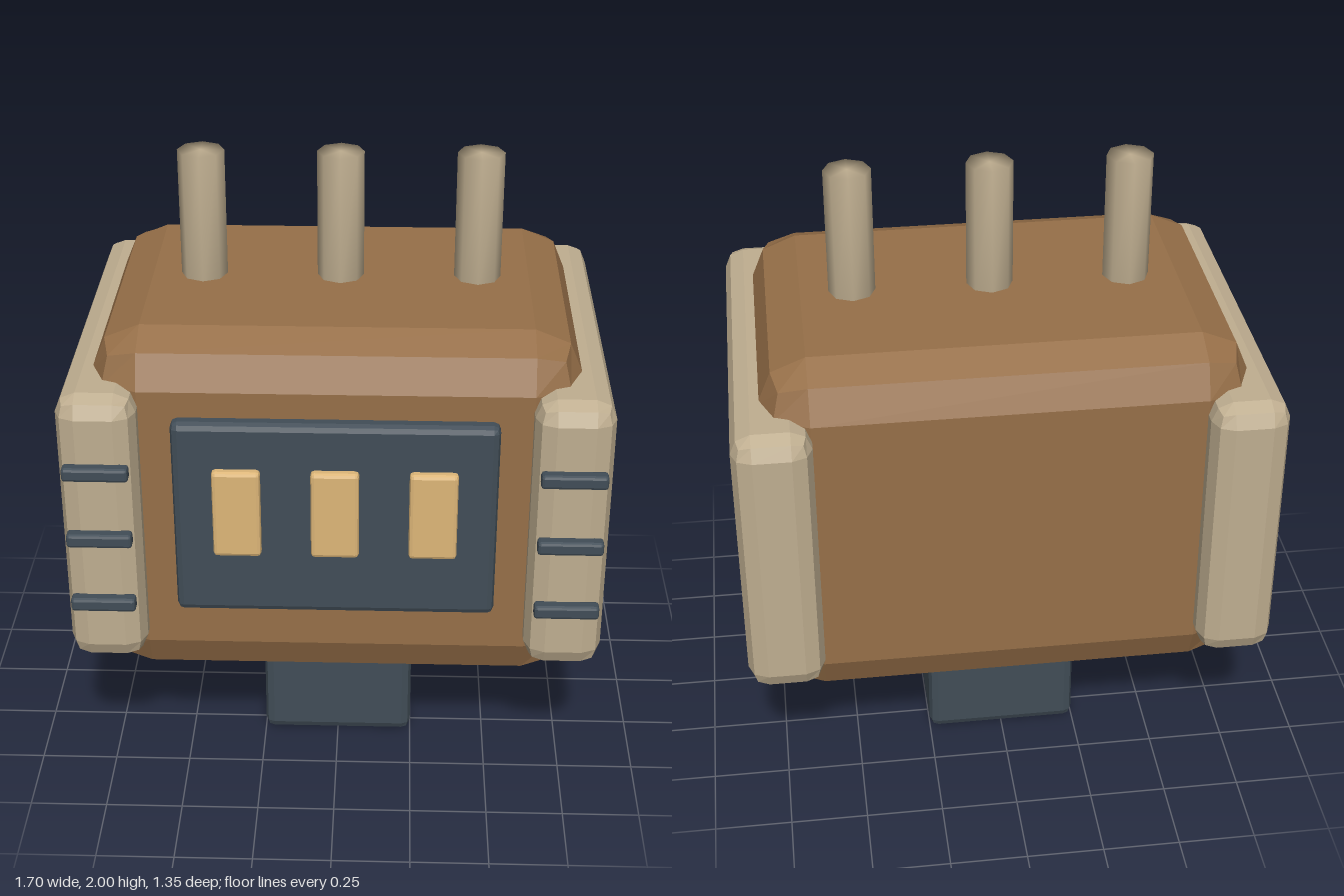
import * as THREE from 'three';
import { RoundedBoxGeometry } from 'three/addons/geometries/RoundedBoxGeometry.js';
import { mergeVertices } from 'three/addons/utils/BufferGeometryUtils.js';

const paint = (color, flatShading = true) => new THREE.MeshStandardMaterial({ color, flatShading });

// Box with a two-step bevel on every edge, given by its centre and size
function bevelBox(name, material, [x, y, z], [w, h, d], bevel) {
  const mesh = new THREE.Mesh(new RoundedBoxGeometry(w, h, d, 1, bevel), material);
  mesh.name = name;
  mesh.position.set(x, y, z);
  return mesh;
}

export function createModel() {
  const model = new THREE.Group();
  model.name = 'pluggedBox';
  const brown = paint(0x966f48);
  const tan = paint(0xbfae90);
  const smoothTan = paint(0xbfae90, false);
  const navy = paint(0x414d57);
  const gold = paint(0xddb678);
  const midZ = -0.018;

  // Main housing and the foot block under it
  model.add(bevelBox('body', brown, [0, 0.97, midZ], [1.526, 1.22, 1.114], 0.155));
  model.add(bevelBox('footBlock', navy, [0, 0.21, -0.014], [0.5, 0.42, 0.674], 0.03));

  // Front plate with three raised windows
  model.add(bevelBox('frontPlate', navy, [0, 1.003, 0.548], [1.01, 0.675, 0.078], 0.022));
  for (const x of [-0.305, 0, 0.305]) {
    model.add(bevelBox('window', gold, [x, 1.038, 0.59], [0.15, 0.3, 0.05], 0.012));
  }

  // Side panels, each with three ribs on its front edge
  for (const side of [1, -1]) {
    const panel = new THREE.Group();
    panel.name = side > 0 ? 'leftPanel' : 'rightPanel';
    panel.add(bevelBox('panelShell', tan, [side * 0.728, 0.97, midZ], [0.246, 0.94, 1.315], 0.064));
    for (const y of [0.735, 0.97, 1.205]) {
      panel.add(bevelBox('rib', navy, [side * 0.728, y, 0.653], [0.204, 0.046, 0.044], 0.01));
    }
    model.add(panel);
  }

  // Three eight-sided pins on top, softly shaded over the rim
  const pinShape = new THREE.CylinderGeometry(0.075, 0.075, 0.48, 8);
  pinShape.deleteAttribute('normal');
  pinShape.deleteAttribute('uv');
  const pinGeometry = mergeVertices(pinShape);
  pinGeometry.computeVertexNormals();
  for (const x of [-0.442, 0, 0.442]) {
    const pin = new THREE.Mesh(pinGeometry, smoothTan);
    pin.name = 'pin';
    pin.position.set(x, 1.76, midZ);
    model.add(pin);
  }

  return model;
}
